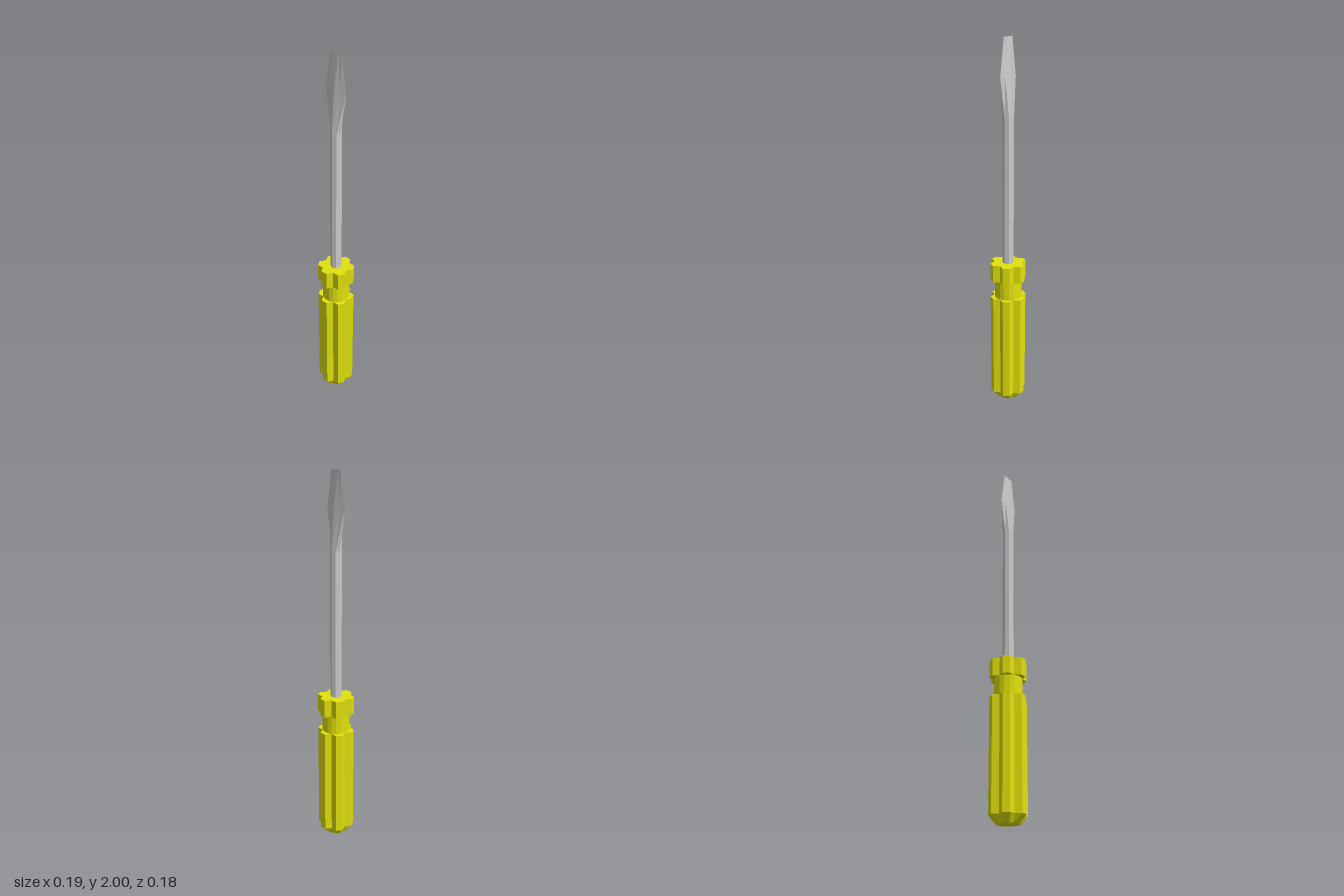
import * as THREE from 'three';

// Joins rings of points, bottom to top, into a flat-shaded skin; empty triangles are skipped.
function loft(name, rings, color) {
  const pos = [];
  const ab = new THREE.Vector3(), ac = new THREE.Vector3();
  const tri = (a, b, c) => {
    ab.subVectors(b, a);
    ac.subVectors(c, a);
    if (ab.cross(ac).length() < 1e-8) return;
    for (const p of [a, b, c]) pos.push(p.x, p.y, p.z);
  };
  for (let r = 0; r < rings.length - 1; r++) {
    const low = rings[r], high = rings[r + 1], n = low.length;
    for (let i = 0; i < n; i++) {
      const j = (i + 1) % n;
      tri(low[i], low[j], high[j]);
      tri(low[i], high[j], high[i]);
    }
  }
  const geometry = new THREE.BufferGeometry();
  geometry.setAttribute('position', new THREE.Float32BufferAttribute(pos, 3));
  geometry.computeVertexNormals();
  const mesh = new THREE.Mesh(geometry, new THREE.MeshStandardMaterial({ color, flatShading: true }));
  mesh.name = name;
  return mesh;
}

const polar = (radius, degrees, y) => {
  const a = THREE.MathUtils.degToRad(degrees);
  return new THREE.Vector3(radius * Math.cos(a), y, -radius * Math.sin(a));
};

// Six flat lobes with a notch between each pair
function lobedRing([y, lobe, notch]) {
  const ring = [];
  for (let k = 0; k < 6; k++) {
    ring.push(polar(lobe, k * 60 - 10.7, y), polar(lobe, k * 60 + 10.7, y), polar(notch, k * 60 + 30, y));
  }
  return ring;
}

// Eight-sided shaft section
const roundRing = (y, radius) => Array.from({ length: 8 }, (_, i) => polar(radius, i * 45, y));

// Diamond section with the same eight points
function diamondRing(y, halfX, halfZ) {
  return Array.from({ length: 8 }, (_, i) => {
    const c = Math.cos(i * Math.PI / 4), s = Math.sin(i * Math.PI / 4), sum = Math.abs(c) + Math.abs(s);
    return new THREE.Vector3(halfX * c / sum, y, -halfZ * s / sum);
  });
}

export function createModel() {
  const model = new THREE.Group();
  model.name = 'screwdriver';

  // Fluted handle: domed butt, grip, round neck and collar
  const profile = [
    [0, 0, 0], [0.01, 0.06, 0.055], [0.05, 0.097, 0.073], [0.635, 0.097, 0.073],
    [0.635, 0.073, 0.073], [0.735, 0.073, 0.073],
    [0.735, 0.097, 0.073], [0.83, 0.097, 0.073], [0.83, 0, 0],
  ];
  model.add(loft('handle', profile.map(lobedRing), 0xe2e20d));

  // Steel shaft
  model.add(loft('shaft', [roundRing(0.82, 0.03), roundRing(1.61, 0.03)], 0xcccccc));

  // Blade flares sideways while thinning to a straight edge
  model.add(loft('blade', [
    roundRing(1.61, 0.03), diamondRing(1.81, 0.015, 0.064), diamondRing(2, 0, 0.035),
  ], 0xcccccc));

  return model;
}
